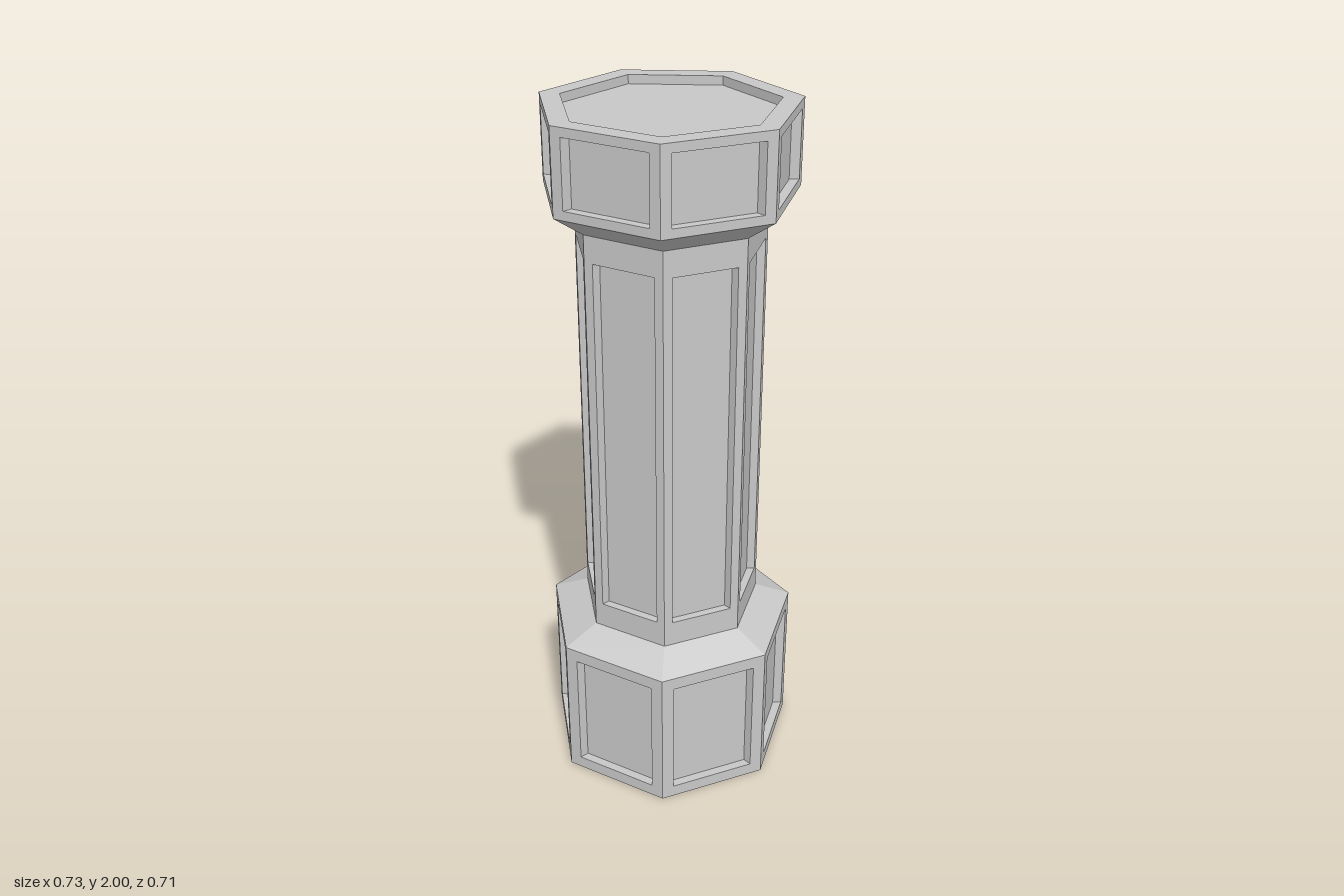
import * as THREE from 'three';

const SIDES = 7;
const STEP = (Math.PI * 2) / SIDES;

export function createModel() {
  const model = new THREE.Group();
  const stone = new THREE.MeshStandardMaterial({ color: 0xc8c8c8 });
  stone.name = 'paleStone';

  const column = new THREE.Group();
  column.name = 'column';
  column.position.z = 0.0185; // centres the seven-sided outline
  model.add(column);

  const addMesh = (name, geometry, parent = column) => {
    const mesh = new THREE.Mesh(geometry, stone);
    mesh.name = name;
    parent.add(mesh);
    return mesh;
  };

  // Faceted band from radius r0 at height y0 to radius r1 at height y1
  const addBand = (name, r0, y0, r1, y1) => {
    const g = new THREE.CylinderGeometry(r1, r0, y1 - y0, SIDES, 1, true, Math.PI)
      .translate(0, (y0 + y1) / 2, 0).toNonIndexed();
    g.computeVertexNormals();
    return addMesh(name, g);
  };

  // One flat side with a sunken panel whose walls run toward the axis
  const panelSide = (radius, y0, y1, half, p0, p1, depth) => {
    const z = radius * Math.cos(STEP / 2);
    const w = radius * Math.sin(STEP / 2);
    const k = 1 - depth / z;
    const rect = (hw, b, t, d) => [[-hw, b, d], [hw, b, d], [hw, t, d], [-hw, t, d]];
    const outer = rect(w, y0, y1, z);
    const rim = rect(half, p0, p1, z);
    const floor = rect(half * k, p0, p1, z * k);
    const points = [];
    const quad = (a, b, c, d) => points.push(...a, ...b, ...c, ...a, ...c, ...d);
    for (let i = 0; i < 4; i++) {
      const j = (i + 1) % 4;
      quad(outer[i], outer[j], rim[j], rim[i]);
      quad(rim[i], rim[j], floor[j], floor[i]);
    }
    quad(...floor);
    const g = new THREE.BufferGeometry();
    g.setAttribute('position', new THREE.Float32BufferAttribute(points, 3));
    g.computeVertexNormals();
    return g;
  };

  const addPanels = (name, ...dims) => {
    const group = new THREE.Group();
    group.name = name;
    const geometry = panelSide(...dims);
    for (let i = 0; i < SIDES; i++) {
      addMesh(name + 'Side', geometry, group).rotation.y = i * STEP;
    }
    column.add(group);
  };

  const baseR = 0.3735, shaftR = 0.267, capR = 0.352, insetR = 0.2945;

  // Base
  addBand('baseUnderside', 0, 0, baseR, 0);
  addPanels('base', baseR, 0, 0.445, 0.126, 0.037, 0.407, 0.025);
  addBand('baseSlope', baseR, 0.445, shaftR, 0.49);

  // Shaft
  addPanels('shaft', shaftR, 0.49, 1.705, 0.091, 0.567, 1.63, 0.022);

  // Cap with a sunken top
  addBand('capSlope', shaftR, 1.705, capR, 1.765);
  addPanels('cap', capR, 1.765, 2, 0.123, 1.79, 1.975, 0.025);
  addBand('capRim', capR, 2, insetR, 2);
  addBand('capRecessWall', insetR, 2, insetR, 1.975);
  addBand('capRecessFloor', insetR, 1.975, 0, 1.975);

  return model;
}
